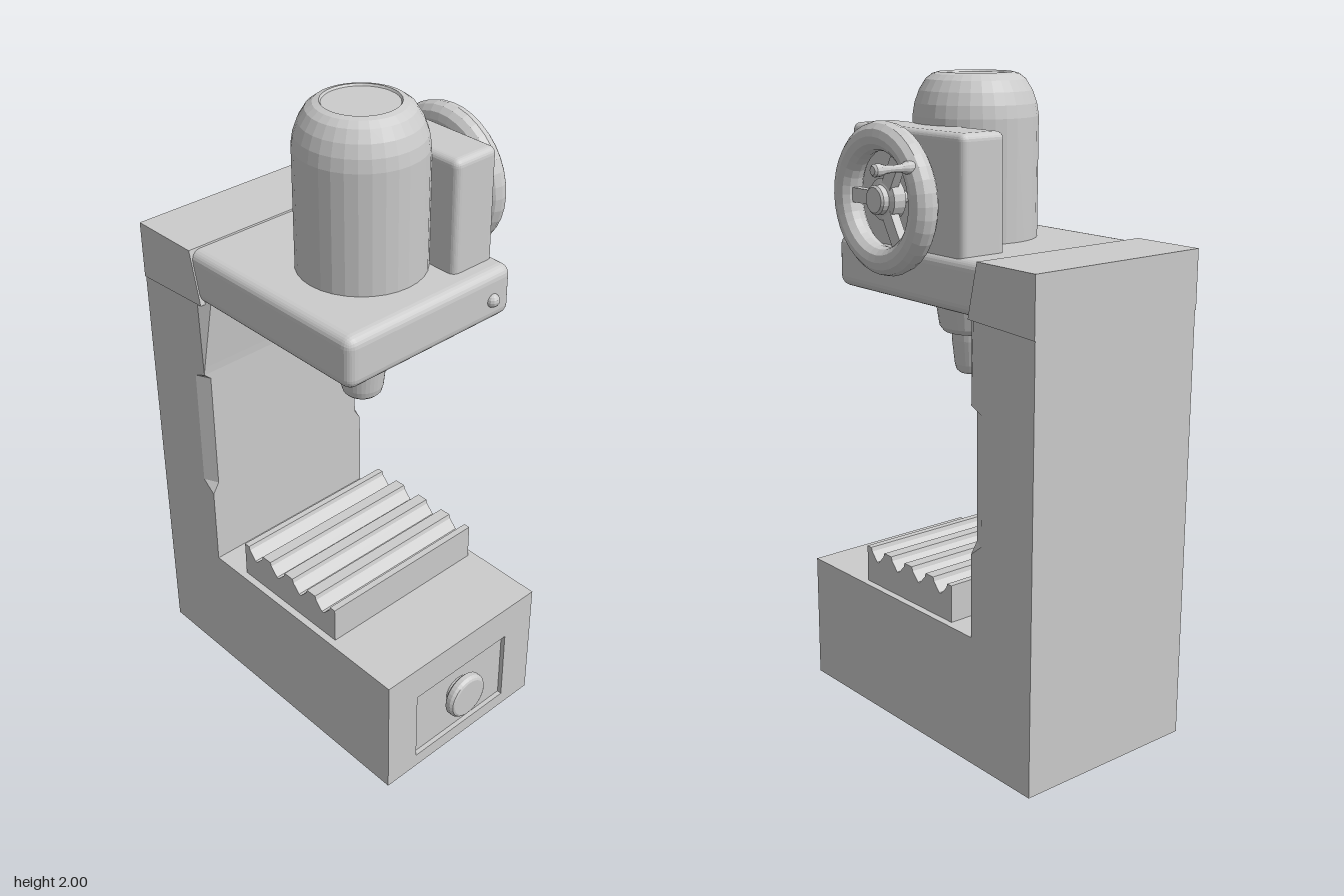
import * as THREE from 'three';
import { RoundedBoxGeometry } from 'three/addons/geometries/RoundedBoxGeometry.js';

const CX = -0.105;   // centre line of frame, motor and spindle
const W = 0.62;      // frame width
const SPINDLE_Z = 0.068;

export function createModel() {
  const root = new THREE.Group();
  root.name = 'drillPress';
  const mat = new THREE.MeshStandardMaterial({ color: 0xcccccc, flatShading: true });

  const add = (name, geo, x = 0, y = 0, z = 0, parent = root) => {
    const mesh = new THREE.Mesh(geo, mat);
    mesh.name = name;
    mesh.position.set(x, y, z);
    parent.add(mesh);
    return mesh;
  };
  const lathe = (pts, seg = 32) =>
    new THREE.LatheGeometry(pts.map(p => new THREE.Vector2(p[0], p[1])), seg);
  // Extrudes a (z, y) side profile across x, centred on x = 0
  const sideExtrude = (pts, width) => {
    const shape = new THREE.Shape(pts.map(p => new THREE.Vector2(p[0], p[1])));
    const g = new THREE.ExtrudeGeometry(shape, { depth: width, bevelEnabled: false });
    return g.translate(0, 0, -width / 2).rotateY(-Math.PI / 2);
  };
  const roundBox = (x0, x1, y0, y1, z0, z1, r, seg = 3) =>
    new RoundedBoxGeometry(x1 - x0, y1 - y0, z1 - z0, seg, r)
      .translate((x0 + x1) / 2, (y0 + y1) / 2, (z0 + z1) / 2);

  // Base with a recessed front panel
  const recess = 0.015;
  add('base', new THREE.BoxGeometry(W, 0.41, 1.06 - recess), CX, 0.205, (0.515 - recess - 0.545) / 2);
  const frame = new THREE.Shape();
  frame.moveTo(-W / 2, 0).lineTo(W / 2, 0).lineTo(W / 2, 0.41).lineTo(-W / 2, 0.41).closePath();
  const opening = new THREE.Path();
  opening.moveTo(-0.192, 0.045).lineTo(-0.192, 0.295).lineTo(0.192, 0.295).lineTo(0.192, 0.045).closePath();
  frame.holes.push(opening);
  add('frontPanelFrame', new THREE.ExtrudeGeometry(frame, { depth: recess, bevelEnabled: false }),
    CX, 0, 0.515 - recess);

  // Round power knob
  add('powerKnob', lathe([[0, 0], [0.05, 0], [0.05, 0.013], [0.068, 0.016], [0.075, 0.022],
    [0.075, 0.038], [0.069, 0.047], [0.062, 0.05], [0, 0.05]]).rotateX(Math.PI / 2), CX, 0.187, 0.5);

  // Column: sections [y, front z, chamfer x, chamfer z]
  const sections = [[0.4, -0.285, 0, 0], [0.67, -0.285, 0, 0], [0.705, -0.285, 0.022, 0.045],
    [1.095, -0.285, 0.022, 0.045], [1.115, -0.285, 0, 0], [1.14, -0.283, 0.002, 0.003],
    [1.37, -0.258, 0.024, 0.035]];
  add('column', loftColumn(sections), CX);

  // Head: rounded front casting and a slant-faced rear block
  add('head', roundBox(CX - 0.308, CX + 0.308, 1.36, 1.518, -0.5, 0.355, 0.032));
  add('headRear', sideExtrude([[-0.546, 1.345], [-0.272, 1.358], [-0.31, 1.523], [-0.546, 1.523]], W + 0.006), CX);
  add('indicator', new THREE.SphereGeometry(0.021, 12, 8), 0.125, 1.43, 0.354);

  // Motor housing with domed top and a shallow cap
  add('motor', lathe([[0, 1.5], [0.187, 1.5], [0.187, 1.875], [0.181, 1.912], [0.168, 1.948],
    [0.148, 1.98], [0.128, 1.995], [0.11, 2], [0.106, 1.994], [0, 1.994]]), CX, 0, SPINDLE_Z);

  // Spindle nose and chuck
  add('spindleNose', lathe([[0, 1.222], [0.075, 1.222], [0.098, 1.227], [0.11, 1.243],
    [0.122, 1.32], [0.122, 1.37]]), CX, 0, SPINDLE_Z);
  add('chuck', lathe([[0, 1.095], [0.05, 1.095], [0.058, 1.103], [0.063, 1.122],
    [0.072, 1.2], [0.072, 1.23]]), CX, 0, SPINDLE_Z);

  // Gearbox and handwheel
  add('gearbox', roundBox(0.03, 0.187, 1.49, 1.855, -0.225, 0.292, 0.022));
  const wheel = new THREE.Group();
  wheel.name = 'handwheel';
  wheel.position.set(0.257, 1.66, 0.035);
  root.add(wheel);
  add('rim', new THREE.TorusGeometry(0.177, 0.042, 12, 36).rotateY(Math.PI / 2), 0, 0, 0, wheel);
  add('shaft', new THREE.CylinderGeometry(0.018, 0.018, 0.09, 12).rotateZ(Math.PI / 2), -0.04, 0, 0, wheel);
  add('hub', lathe([[0, -0.03], [0.06, -0.03], [0.06, 0.01], [0.042, 0.016], [0.042, 0.034],
    [0.036, 0.04], [0, 0.04]], 20).rotateZ(-Math.PI / 2), 0, 0, 0, wheel);
  for (let i = 0; i < 3; i++) {
    const spoke = add('spoke', new THREE.BoxGeometry(0.028, 0.042, 0.13).translate(0, 0, 0.095), 0, 0, 0, wheel);
    spoke.rotation.x = i * Math.PI * 2 / 3;
  }
  add('crankHandle', lathe([[0.018, 0.02], [0.018, 0.045], [0.012, 0.06], [0.01, 0.09],
    [0.012, 0.115], [0.018, 0.135], [0.018, 0.152], [0.012, 0.158], [0, 0.158]], 12)
    .rotateZ(-Math.PI / 2), 0, 0.105, -0.16, wheel);

  // Work table with four V grooves
  const table = [[-0.168, 0.4], [0.256, 0.4], [0.256, 0.528]];
  for (let i = 0; i < 4; i++) {
    const z = 0.201 - i * 0.105;
    table.push([z + 0.034, 0.528], [z + 0.03, 0.515], [z + 0.004, 0.487],
      [z - 0.004, 0.487], [z - 0.03, 0.515], [z - 0.034, 0.528]);
  }
  table.push([-0.168, 0.528]);
  add('workTable', sideExtrude(table, 0.575), CX);

  return root;
}

// Skins six-cornered sections whose two front corners are chamfered
function loftColumn(sections) {
  const rings = sections.map(([y, zf, cx, cz]) => {
    const h = W / 2;
    return [[-h, y, -0.545], [-h, y, zf - cz], [-h + cx, y, zf],
      [h - cx, y, zf], [h, y, zf - cz], [h, y, -0.545]];
  });
  const pos = [];
  for (let s = 0; s < rings.length - 1; s++) {
    const a = rings[s], b = rings[s + 1];
    for (let i = 0; i < 6; i++) {
      const j = (i + 1) % 6;
      pos.push(...a[i], ...a[j], ...b[j], ...a[i], ...b[j], ...b[i]);
    }
  }
  const g = new THREE.BufferGeometry();
  g.setAttribute('position', new THREE.Float32BufferAttribute(pos, 3));
  g.computeVertexNormals();
  return g;
}
